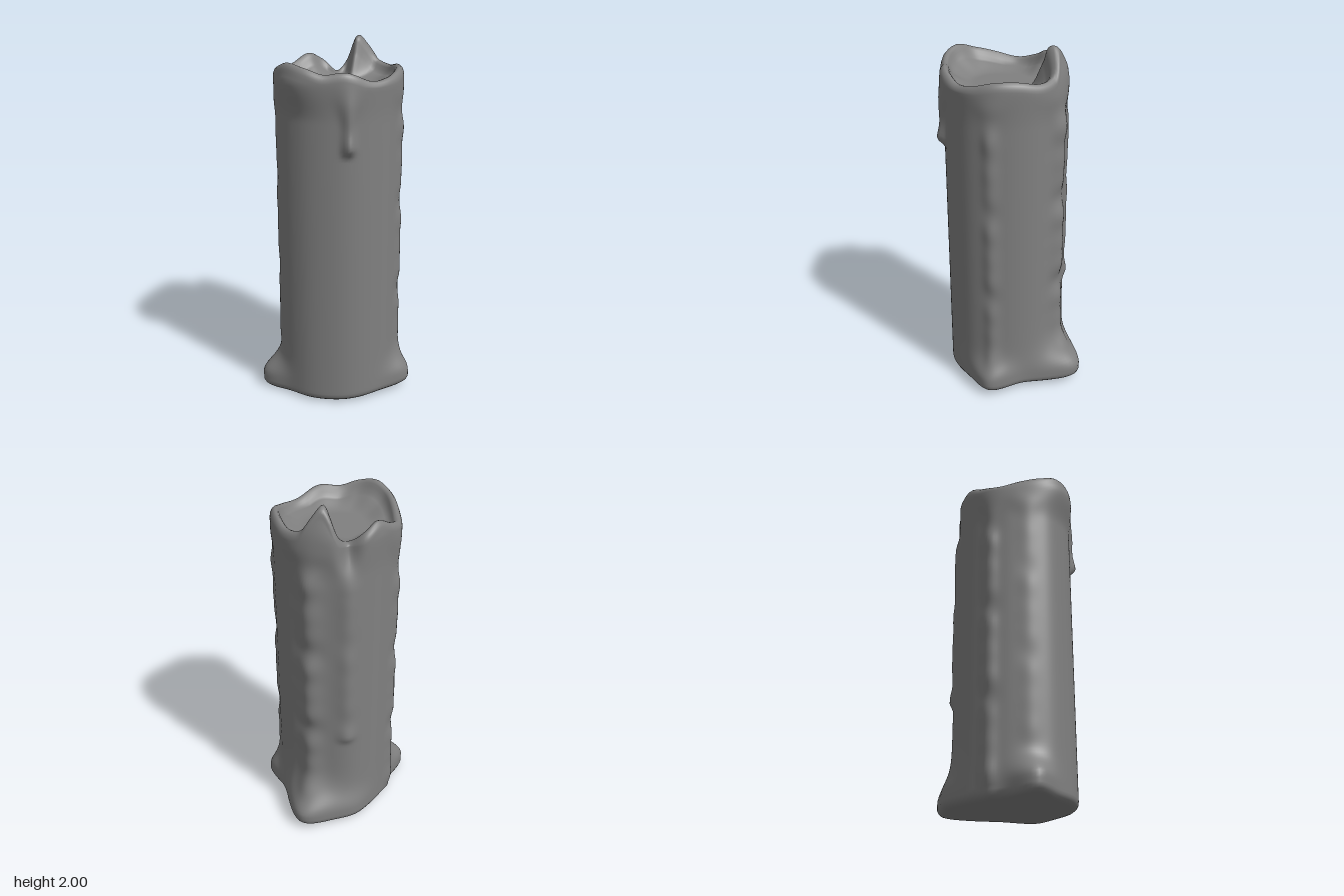
import * as THREE from 'three';

const RAD = Math.PI / 180, SEG = 144, CZ = 0.05, POOL = 1.775;
const gauss = (d) => Math.exp(-d * d);
const mix = (a, b, t) => a + (b - a) * t;
const smooth = (a, b, v) => THREE.MathUtils.smoothstep(v, a, b);
const angleDiff = (a, b) => ((a - b + 540) % 360) - 180;

// Smooth periodic interpolation through [degrees, value] pairs
function ring(points) {
  return (deg) => {
    const n = points.length;
    let i = n - 1;
    for (let k = 0; k < n; k++) if (points[k][0] <= deg) i = k;
    const at = (k) => points[(k + n) % n][1];
    const a0 = points[i][0], a1 = i + 1 < n ? points[i + 1][0] : 360 + points[0][0];
    const t = (deg - a0) / (a1 - a0);
    const [p, q, r, s] = [at(i - 1), at(i), at(i + 1), at(i + 2)];
    return q + 0.5 * t * (r - p + t * (2 * p - 5 * q + 4 * r - s + t * (3 * (q - r) + s - p)));
  };
}

// Angles run from the front (+z) toward +x
const bodyRadius = ring([[0, 0.345], [22, 0.34], [45, 0.335], [67, 0.335], [90, 0.33], [112, 0.325],
  [135, 0.325], [157, 0.315], [180, 0.32], [202, 0.33], [225, 0.325], [247, 0.325], [270, 0.34],
  [292, 0.35], [315, 0.37], [337, 0.36]]);
const rimHeight = ring([[0, 1.87], [20, 1.88], [45, 1.83], [67, 1.84], [90, 1.87], [112, 1.87], [135, 1.85],
  [153, 1.87], [163, 1.95], [172, 2.0], [180, 1.955], [190, 1.84], [201, 1.8], [215, 1.86], [232, 1.9],
  [250, 1.86], [270, 1.83], [292, 1.86], [312, 1.89], [328, 1.92], [345, 1.9]]);

// Wax runs: angle, angular width, thickness, lower end, waviness, bead at the end
const drips = [
  { a: 22, w: 5, amp: 0.026, low: 1.43, wave: 0.1, bulb: 0.018 },
  { a: 86, w: 7, amp: 0.015, low: 0.0, wave: 0.5, bulb: 0 },
  { a: 161, w: 11, amp: 0.032, low: 0.0, wave: 0.4, bulb: 0 },
  { a: 198, w: 8, amp: 0.012, low: 0.55, wave: 0.3, bulb: 0.008 },
  { a: 263, w: 7, amp: 0.018, low: 0.0, wave: 0.45, bulb: 0 },
  { a: 298, w: 8, amp: 0.006, low: 0.0, wave: 0.5, bulb: 0 },
];
// Wax pooled around the foot: angle, angular width, reach, height
const lobes = [
  { a: 86, w: 19, amp: 0.075, h: 0.15 },
  { a: 163, w: 26, amp: 0.135, h: 0.21 },
  { a: 299, w: 15, amp: 0.11, h: 0.15 },
  { a: 203, w: 20, amp: 0.03, h: 0.15 },
];

function outerRadius(deg, y) {
  let r = bodyRadius(deg);
  for (const d of drips) {
    // runs widen and thin out where they leave the rim
    const g = gauss(angleDiff(deg, d.a) / (d.w * (1 + 1.2 * smooth(1.6, 1.84, y))));
    const wave = 1 + d.wave * (0.6 * Math.sin(y * 11 + d.a) + 0.5 * Math.sin(y * 23.7 + d.a * 2)
      + 0.3 * Math.sin(y * 37 + d.a * 3));
    const bead = d.bulb * gauss((y - d.low - 0.07) / 0.06);
    r += g * smooth(d.low, d.low + 0.06, y) * (d.amp * wave * (1 - 0.7 * smooth(1.7, 1.85, y)) + bead);
  }
  for (const l of lobes) r += l.amp * gauss(angleDiff(deg, l.a) / l.w) * gauss(Math.max(0, y - 0.08) / l.h * 1.5);
  // lip swelling below the rim, strongest at the front left corner of the pool
  const lip = 0.008 + 0.035 * gauss(angleDiff(deg, 336) / 24);
  r += lip * smooth(1.62, 1.84, y);
  // spill channel at the back, and the tall peak leaning inward
  r -= 0.065 * gauss(angleDiff(deg, 200) / 9) * smooth(1.55, 1.8, y);
  return r - 0.045 * smooth(1.82, 2.0, y);
}

// One vertical section of the candle, from underside centre to pool centre
function section(deg) {
  const H = rimHeight(deg), pts = [];
  const foot = outerRadius(deg, 0.05);
  for (const f of [0, 0.3, 0.6, 0.85]) pts.push([foot * f, 0]);
  // rounded bottom edge
  for (const k of [0, 25, 50, 75])
    pts.push([foot - 0.04 + 0.04 * Math.sin(k * RAD), 0.04 - 0.04 * Math.cos(k * RAD)]);
  // side wall
  const lipHeight = Math.min(0.045, (H - POOL) * 0.6), top = H - lipHeight;
  for (let i = 0; i <= 90; i++) {
    const y = mix(0.045, top, i / 90);
    pts.push([outerRadius(deg, y), y]);
  }
  // rounded lip, thicker at the peak
  const edge = outerRadius(deg, top), thick = 0.028 + 0.012 * gauss(angleDiff(deg, 172) / 14);
  for (const k of [20, 45, 70, 90, 115, 140, 165])
    pts.push([edge - thick + thick * Math.cos(k * RAD), top + lipHeight * Math.sin(k * RAD)]);
  // inner wall sinking to the melted pool
  const rIn = edge - thick * 2;
  for (let i = 1; i <= 20; i++) {
    const t = i / 20;
    pts.push([rIn * (1 - t), mix(top, POOL, smooth(-0.1, 0.42, t))]);
  }
  return pts;
}

function candleGeometry() {
  const pos = [], index = [];
  let rows = 0;
  for (let j = 0; j < SEG; j++) {
    const deg = j * 360 / SEG, s = Math.sin(deg * RAD), c = Math.cos(deg * RAD);
    const pts = section(deg);
    rows = pts.length;
    for (const [r, y] of pts) {
      const x = r * s, z = CZ + r * c;
      // slightly uneven underside, fading out above the foot
      const sag = 0.08 * ((x + 0.2) ** 2 + (z - 0.15) ** 2) * (1 - smooth(0, 0.3, y));
      pos.push(x, y + sag, z);
    }
  }
  for (let j = 0; j < SEG; j++) {
    const a = j * rows, b = ((j + 1) % SEG) * rows;
    for (let i = 0; i < rows - 1; i++) {
      if (i > 0) index.push(a + i, b + i, b + i + 1);
      if (i < rows - 2) index.push(a + i, b + i + 1, a + i + 1);
    }
  }
  const g = new THREE.BufferGeometry();
  g.setAttribute('position', new THREE.Float32BufferAttribute(pos, 3));
  g.setIndex(index);
  g.computeVertexNormals();
  // shared normals at the two centres
  const n = g.attributes.normal;
  for (let j = 0; j < SEG; j++) {
    n.setXYZ(j * rows, 0, -1, 0);
    n.setXYZ(j * rows + rows - 1, 0, 1, 0);
  }
  return g;
}

export function createModel() {
  const group = new THREE.Group();
  group.name = 'meltedCandle';
  const wax = new THREE.Mesh(candleGeometry(), new THREE.MeshStandardMaterial({ color: 0x808080 }));
  wax.name = 'waxBody';
  group.add(wax);
  return group;
}
